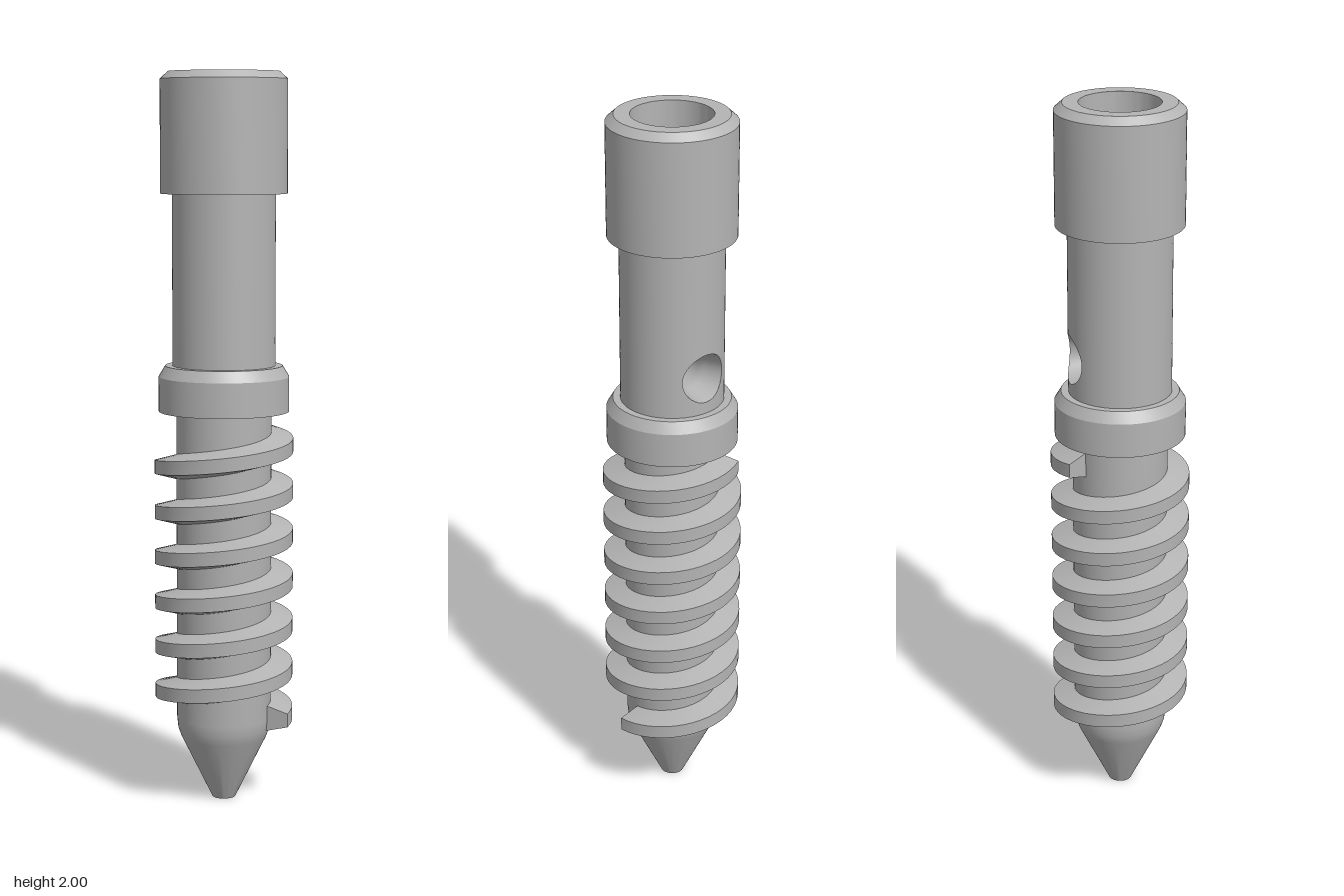
import * as THREE from 'three';
import { toCreasedNormals } from 'three/addons/utils/BufferGeometryUtils.js';
import { ParametricGeometry } from 'three/addons/geometries/ParametricGeometry.js';

const SHAFT_R = 0.14, SHAFT_BOTTOM = 1.21, SHAFT_TOP = 1.675;
const BORE_R = 0.055, BORE_FLOOR = 1.31;
const HOLE_R = 0.068, CHANNEL_R = 0.047;

export function createModel() {
  const model = new THREE.Group();
  const metal = new THREE.MeshStandardMaterial({ color: 0xb4b4b4 });
  metal.name = 'greyMetal';

  const add = (name, geometry) => {
    const mesh = new THREE.Mesh(geometry, metal);
    mesh.name = name;
    model.add(mesh);
    return mesh;
  };
  const lathe = (points) => toCreasedNormals(
    new THREE.LatheGeometry(points.map(([r, y]) => new THREE.Vector2(r, y)), 72), 0.45);

  // Pointed tip, slightly softened where it meets the core
  add('tipAndCore', lathe([
    [0, 0], [0.032, 0], [0.118, 0.175], [0.127, 0.2], [0.13, 0.23], [0.13, 1.085],
  ]));

  // Chamfered collar above the thread
  add('collar', lathe([
    [0.12, 1.085], [0.178, 1.085], [0.178, 1.18], [0.16, SHAFT_BOTTOM], [0.13, SHAFT_BOTTOM],
  ]));

  // Head with chamfered rim and stepped bore
  add('headAndBore', lathe([
    [0.13, SHAFT_TOP], [0.172, SHAFT_TOP], [0.172, 1.98], [0.15, 2], [0.108, 2],
    [0.108, 1.62], [BORE_R, 1.62], [BORE_R, BORE_FLOOR],
  ]));

  // Shaft wall, leaving an opening at the back for the drilled panel
  const panel = 0.75;
  const wall = new THREE.CylinderGeometry(SHAFT_R, SHAFT_R, SHAFT_TOP - SHAFT_BOTTOM, 64, 1, true,
    Math.PI + panel, 2 * Math.PI - 2 * panel);
  add('shaft', wall).position.y = (SHAFT_TOP + SHAFT_BOTTOM) / 2;

  // Curved back panel: rings blend from the round hole to the panel's edge
  const square = (n) => THREE.MathUtils.clamp(n * Math.SQRT2, -1, 1);
  add('drilledBackPanel', new ParametricGeometry((u, v, p) => {
    const a = u * 2 * Math.PI, c = Math.cos(a), s = Math.sin(a);
    const edgeY = square(s) * (s > 0 ? SHAFT_TOP - BORE_FLOOR : BORE_FLOOR - SHAFT_BOTTOM);
    const phi = THREE.MathUtils.lerp(Math.asin(HOLE_R * c / SHAFT_R), square(c) * panel, v);
    const y = BORE_FLOOR + THREE.MathUtils.lerp(HOLE_R * s, edgeY, v);
    p.set(SHAFT_R * Math.sin(phi), y, -SHAFT_R * Math.cos(phi));
  }, 64, 10));

  // Side channel, straight inside and flaring to the outer hole
  add('sideChannel', new ParametricGeometry((u, v, p) => {
    const a = u * 2 * Math.PI;
    const flare = Math.max(0, v * 2 - 1);
    const r = THREE.MathUtils.lerp(CHANNEL_R, HOLE_R, flare);
    const x = r * Math.cos(a);
    const outerZ = -Math.sqrt(SHAFT_R ** 2 - x * x);
    const z = v < 0.5 ? -0.1 * v : THREE.MathUtils.lerp(-0.05, outerZ, flare);
    p.set(x, BORE_FLOOR + r * Math.sin(a), z);
  }, 48, 8));

  // Lower half of the channel's flat end
  const channelEnd = add('channelEnd', new THREE.CircleGeometry(CHANNEL_R, 24, 0, Math.PI));
  channelEnd.rotation.x = Math.PI;
  channelEnd.position.y = BORE_FLOOR;

  // Bore floor, cut away over the channel
  const cut = Math.acos(CHANNEL_R / BORE_R);
  const floorShape = new THREE.Shape();
  floorShape.moveTo(CHANNEL_R, 0);
  floorShape.absarc(0, 0, BORE_R, cut, Math.PI - cut, true);
  floorShape.lineTo(-CHANNEL_R, 0);
  const floor = add('boreFloor', new THREE.ShapeGeometry(floorShape, 32));
  floor.rotation.x = -Math.PI / 2;
  floor.position.y = BORE_FLOOR;

  // Helical thread: a trapezoid swept upward, closed at both ends
  const profile = [[0.125, 0.036], [0.19, 0.019], [0.19, -0.019], [0.125, -0.036], [0.125, 0.036]];
  const turns = 6 + 1 / 3, pitch = 0.125, steps = 304, middle = 0.1575;
  const thread = new ParametricGeometry((u, v, p) => {
    const row = Math.round(v * (steps + 2));
    const size = row === 0 || row === steps + 2 ? 0 : 1;
    const turn = THREE.MathUtils.clamp((row - 1) / steps, 0, 1) * turns;
    const a = turn * 2 * Math.PI;
    const [pr, py] = profile[THREE.MathUtils.clamp(Math.round(u * 4), 0, 4)];
    const r = middle + (pr - middle) * size;
    p.set(r * Math.cos(a), 0.235 + turn * pitch + py * size, -r * Math.sin(a));
  }, 4, steps + 2);
  add('thread', toCreasedNormals(thread, 0.5));

  return model;
}
